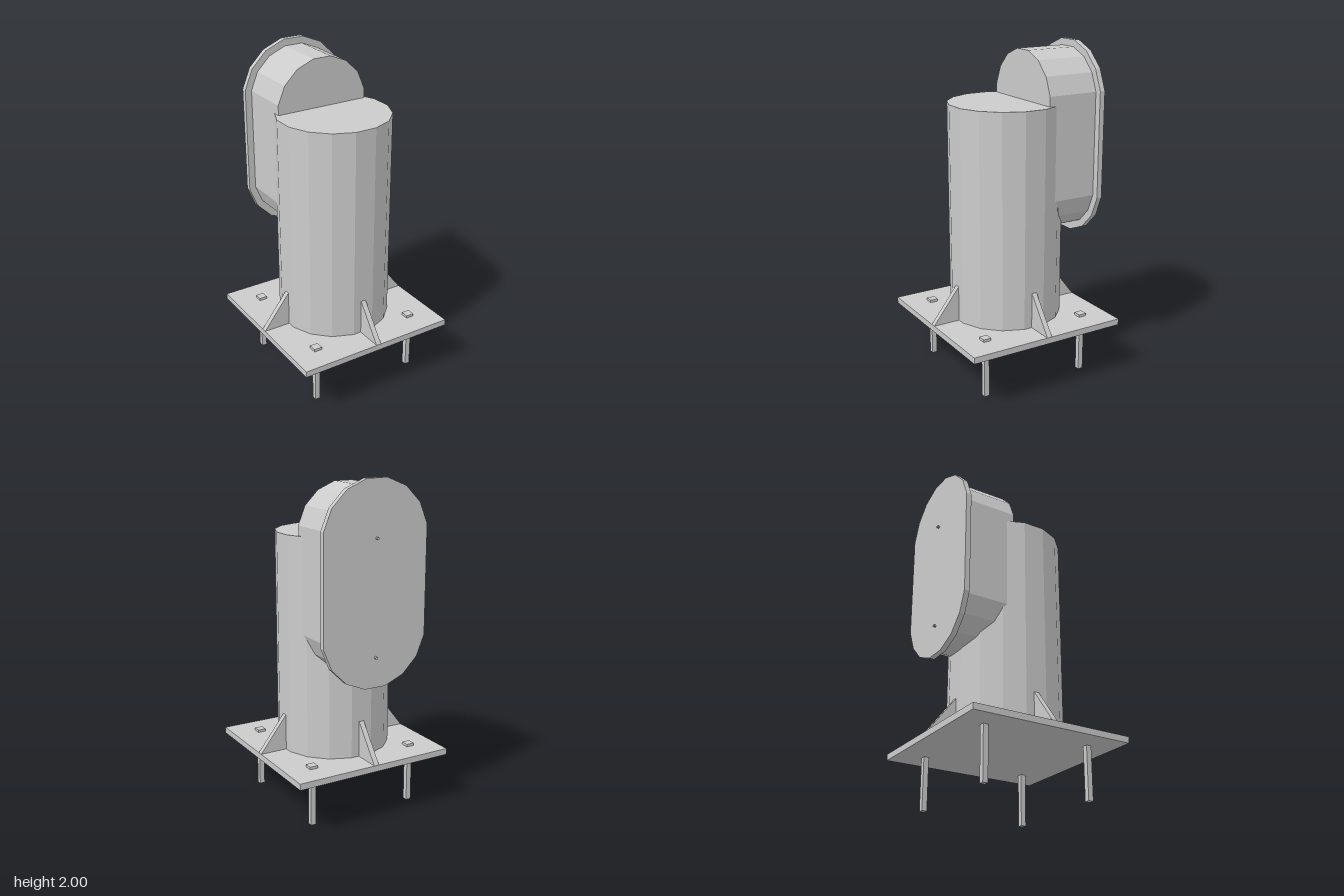
import * as THREE from 'three';

const material = new THREE.MeshStandardMaterial({ color: 0xcccccc, flatShading: true });
const SIDES = 16;
const STEP = (Math.PI * 2) / SIDES;

// Rounded-end panel: two half polygons joined by straight sides
function obround(radius, yLow, yHigh) {
  const points = [];
  for (let i = 0; i < SIDES; i++) {
    const a = (i + 0.5) * STEP;
    const cy = i < SIDES / 2 ? yHigh : yLow;
    points.push(new THREE.Vector2(radius * Math.cos(a), cy + radius * Math.sin(a)));
  }
  return new THREE.Shape(points);
}

function extrude(shape, depth, z) {
  const geometry = new THREE.ExtrudeGeometry(shape, { depth, bevelEnabled: false });
  geometry.translate(0, 0, z);
  return geometry;
}

export function createModel() {
  const model = new THREE.Group();
  model.name = 'pedestal';
  const add = (name, geometry, x = 0, y = 0, z = 0) => {
    const mesh = new THREE.Mesh(geometry, material);
    mesh.name = name;
    mesh.position.set(x, y, z);
    model.add(mesh);
    return mesh;
  };

  // Base plate
  add('basePlate', new THREE.BoxGeometry(1.008, 0.038, 1.008), 0, 0.337, 0);

  // Faceted column
  const column = new THREE.CylinderGeometry(0.341, 0.341, 1.31, SIDES);
  column.rotateY(STEP / 2);
  add('column', column, 0, 1.01, 0);

  // Rear housing and its cover
  add('housing', extrude(obround(0.299, 1.158, 1.665), 0.32, -0.44));
  add('cover', extrude(obround(0.341, 1.156, 1.665), 0.033, -0.473));

  // Cover screws
  for (const y of [1.0, 1.675]) {
    const screw = new THREE.CylinderGeometry(0.008, 0.008, 0.025, 8);
    screw.rotateX(Math.PI / 2);
    add('coverScrew', screw, 0, y, -0.476);
  }

  // Anchor bolts with square heads
  for (const x of [-0.337, 0.337]) {
    for (const z of [-0.337, 0.337]) {
      add('boltShaft', new THREE.BoxGeometry(0.032, 0.33, 0.032), x, 0.165, z);
      add('boltHead', new THREE.BoxGeometry(0.05, 0.018, 0.05), x, 0.363, z);
    }
  }

  // Triangular gussets on the four sides
  const triangle = new THREE.Shape([
    new THREE.Vector2(0.33, 0.355),
    new THREE.Vector2(0.504, 0.355),
    new THREE.Vector2(0.33, 0.58),
  ]);
  const gusset = extrude(triangle, 0.032, -0.016);
  for (let i = 0; i < 4; i++) add('gusset', gusset).rotation.y = (i * Math.PI) / 2;

  return model;
}
